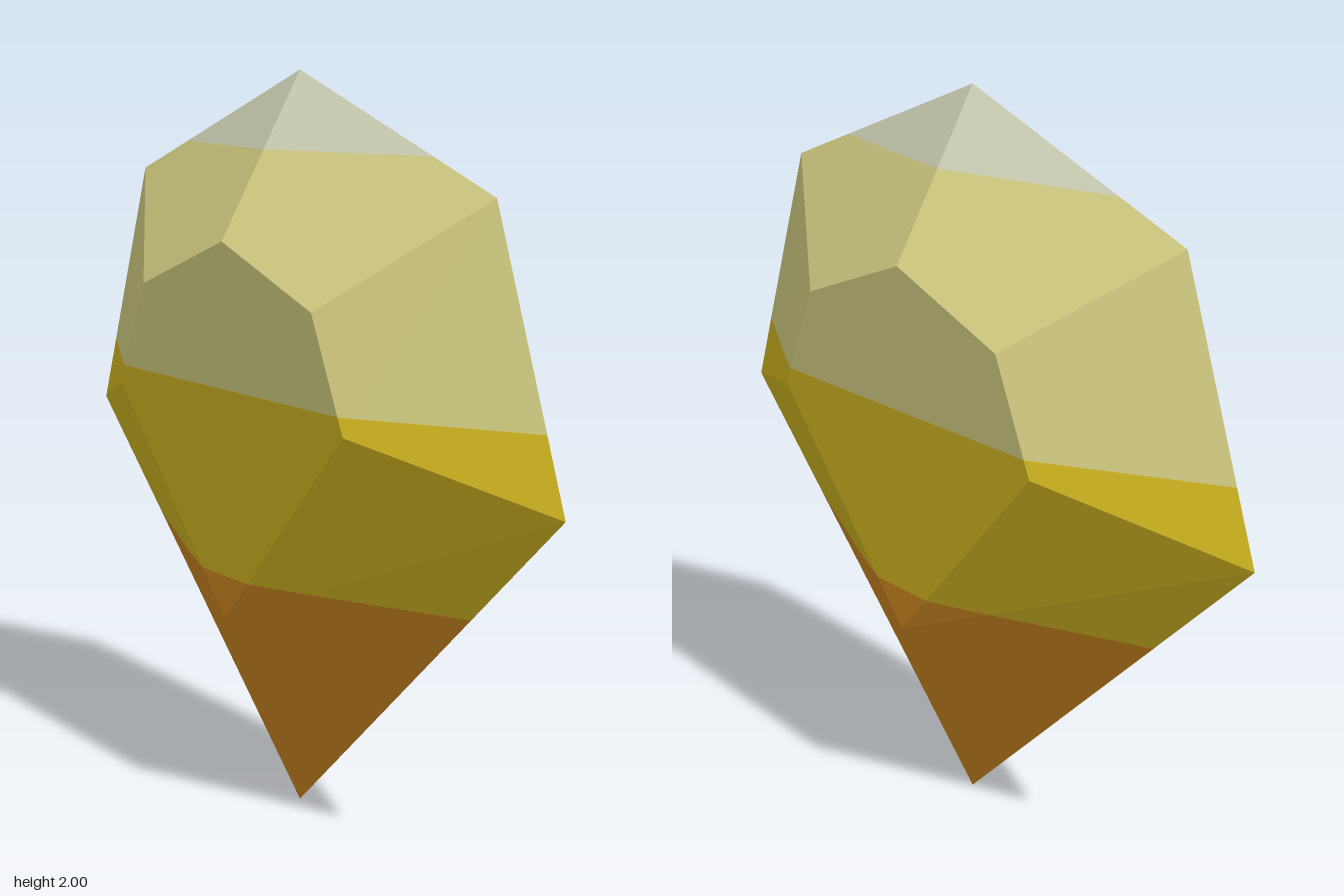
import * as THREE from 'three';

// Colour bands from the bottom tip to the top of the gem
const BANDS = [
  ['amberTip', 'amber orange', 0xe09424, 0, 0.69],
  ['goldBand', 'gold', 0xe4c624, 0.69, 1.19],
  ['creamBand', 'cream', 0xe5df8e, 1.19, 1.8],
  ['paleCrown', 'pale ivory', 0xe1e3c6, 1.8, 2],
];

// Corners of one quarter: rim at z = 0, front table at z = 0.25
const top = [0, 2, 0], shoulder = [0.75, 1.715, 0], side = [1, 1, 0], tip = [0, 0, 0];
const tTop = [0, 1.572, 0.25], tShoulder = [0.375, 1.43, 0.25];
const tSide = [0.5, 1.143, 0.25], tTip = [0, 0.572, 0.25];

const FACETS = [
  [tTop, tTip, tSide, tShoulder],   // half of the flat table
  [top, tTop, tShoulder, shoulder], // crown bevel
  [shoulder, tShoulder, tSide],     // side bevel
  [shoulder, tSide, side],
  [tSide, tTip, side],              // lower bevel
  [tTip, tip, side],
];

// Keep the part of a polygon where sign * (y - level) >= 0
function clip(poly, level, sign) {
  const out = [];
  poly.forEach((a, i) => {
    const b = poly[(i + 1) % poly.length];
    const da = sign * (a[1] - level), db = sign * (b[1] - level);
    if (da >= 0) out.push(a);
    if (da * db < 0) {
      const t = da / (da - db);
      out.push(a.map((v, k) => v + (b[k] - v) * t));
    }
  });
  return out;
}

// All mirrored facets, sliced to one height band
function bandGeometry(low, high) {
  const positions = [];
  for (const sx of [1, -1]) for (const sz of [1, -1]) for (const facet of FACETS) {
    const poly = clip(clip(facet, low, 1), high, -1)
      .map(([x, y, z]) => [x * sx, y, z * sz]);
    if (sx * sz < 0) poly.reverse();
    for (let i = 1; i < poly.length - 1; i++) {
      positions.push(...poly[0], ...poly[i], ...poly[i + 1]);
    }
  }
  const geometry = new THREE.BufferGeometry();
  geometry.setAttribute('position', new THREE.Float32BufferAttribute(positions, 3));
  geometry.computeVertexNormals(); // unshared corners keep every facet flat
  return geometry;
}

export function createModel() {
  const gem = new THREE.Group();
  gem.name = 'gem';
  for (const [part, colourName, color, low, high] of BANDS) {
    const material = new THREE.MeshStandardMaterial({ color });
    material.name = colourName;
    const mesh = new THREE.Mesh(bandGeometry(low, high), material);
    mesh.name = part;
    gem.add(mesh);
  }
  return gem;
}
